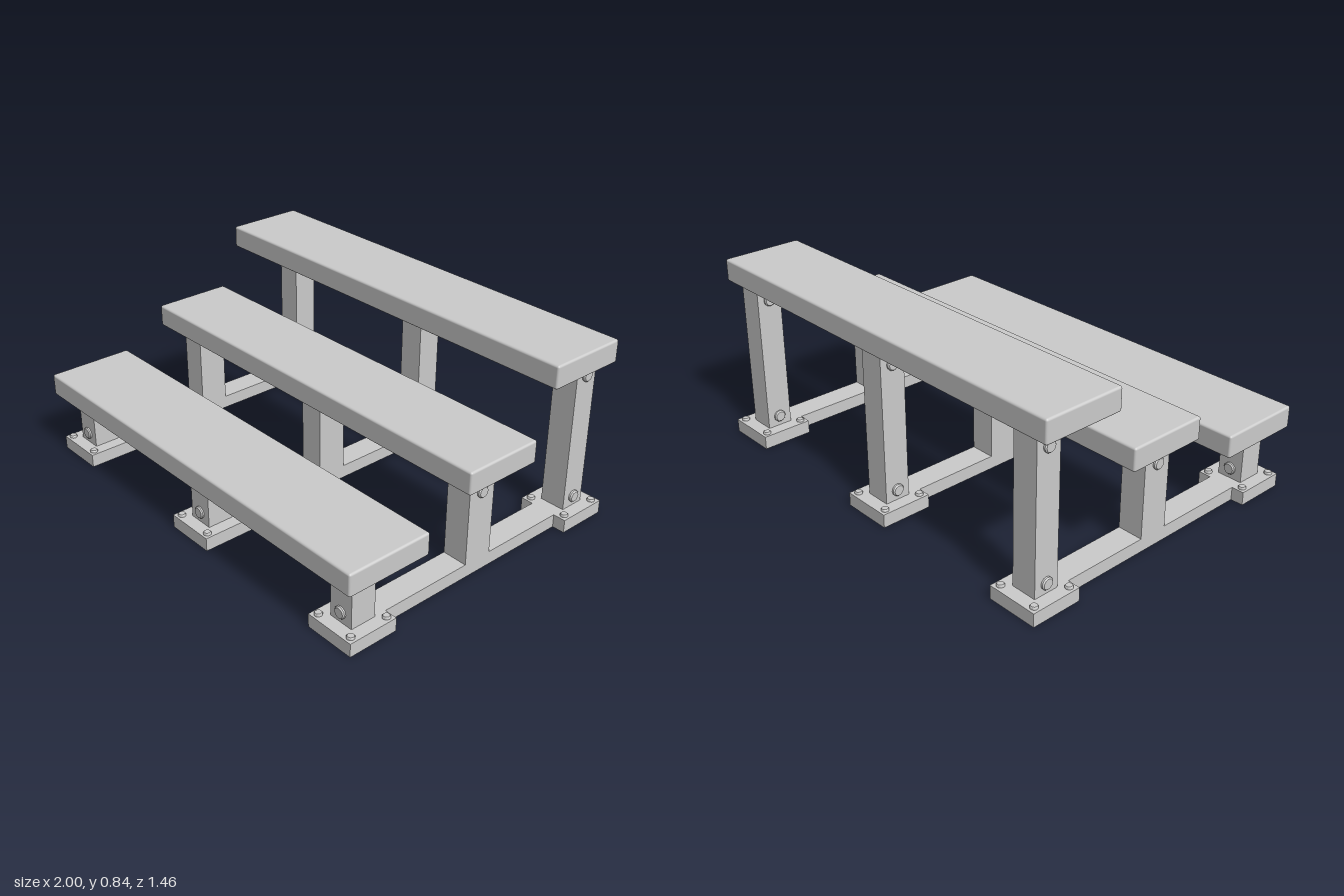
import * as THREE from 'three';
import { RoundedBoxGeometry } from 'three/addons/geometries/RoundedBoxGeometry.js';
import { toCreasedNormals } from 'three/addons/utils/BufferGeometryUtils.js';

const grey = new THREE.MeshStandardMaterial({ color: 0xcccccc });
const W = 0.116; // width of posts and beams
const PLATE_H = 0.06;

function add(parent, name, geometry, x = 0, y = 0, z = 0) {
  const mesh = new THREE.Mesh(geometry, grey);
  mesh.name = name;
  mesh.position.set(x, y, z);
  parent.add(mesh);
  return mesh;
}

// Block given by its bottom and top heights and its back and front depths
function block(parent, name, w, y0, y1, z0, z1) {
  return add(parent, name, new THREE.BoxGeometry(w, y1 - y0, z1 - z0), 0, (y0 + y1) / 2, (z0 + z1) / 2);
}

// Bolt head with a chamfered rim, standing on y = 0
function boltGeometry(r, h) {
  const profile = [[r, 0], [r, h * 0.6], [r * 0.82, h], [0, h]].map(([x, y]) => new THREE.Vector2(x, y));
  return toCreasedNormals(new THREE.LatheGeometry(profile, 12), 0.6);
}
const sideBolt = boltGeometry(0.027, 0.013);
const plateBolt = boltGeometry(0.017, 0.011);

// Pair of bolt heads on opposite faces of a post
function boltPair(parent, axis, y, z, half) {
  for (const s of [-1, 1]) {
    if (axis === 'x') add(parent, 'postBolt', sideBolt, s * half, y, z).rotation.z = -s * Math.PI / 2;
    else add(parent, 'postBolt', sideBolt, 0, y, z + s * half).rotation.x = s * Math.PI / 2;
  }
}

// Ground plate with a bolt near each corner
function basePlate(parent, name, z0, z1) {
  block(parent, name, 0.232, 0, PLATE_H, z0, z1);
  const zc = (z0 + z1) / 2;
  for (const sx of [-1, 1]) for (const sz of [-1, 1])
    add(parent, 'plateBolt', plateBolt, sx * 0.089, PLATE_H, zc + sz * 0.089);
}

// One support: plates, front and back posts, and a beam with the middle post
function support(x) {
  const g = new THREE.Group();
  g.name = 'support';
  g.position.x = x;

  basePlate(g, 'frontPlate', 0.477, 0.707);
  basePlate(g, 'backPlate', -0.727, -0.494);
  block(g, 'frontPost', W, PLATE_H, 0.29, 0.532, 0.649);
  block(g, 'backPost', W, PLATE_H, 0.74, -0.667, -0.552);

  // Beam and middle post in one upturned T, drawn with shape x along -z
  const t = new THREE.Shape([
    [-0.477, 0], [0.494, 0], [0.494, PLATE_H], [0.092, PLATE_H], [0.092, 0.455],
    [-0.045, 0.455], [-0.045, PLATE_H], [-0.477, PLATE_H],
  ].map(([a, b]) => new THREE.Vector2(a, b)));
  const beam = new THREE.ExtrudeGeometry(t, { depth: W, bevelEnabled: false });
  beam.translate(0, 0, -W / 2).rotateY(Math.PI / 2);
  add(g, 'beamWithMiddlePost', beam);

  boltPair(g, 'z', 0.107, 0.59, 0.058);
  boltPair(g, 'x', 0.376, -0.022, W / 2);
  boltPair(g, 'x', 0.107, -0.61, W / 2);
  boltPair(g, 'x', 0.677, -0.61, W / 2);
  return g;
}

export function createModel() {
  const model = new THREE.Group();
  model.name = 'tieredBench';

  for (const x of [-0.868, 0, 0.868]) model.add(support(x));

  // Planks with softened edges: bottom, top, back, front
  const planks = {
    frontPlank: [0.283, 0.384, 0.333, 0.729],
    middlePlank: [0.449, 0.551, -0.241, 0.13],
    backPlank: [0.734, 0.836, -0.696, -0.326],
  };
  for (const [name, [y0, y1, z0, z1]] of Object.entries(planks))
    add(model, name, new RoundedBoxGeometry(2, y1 - y0, z1 - z0, 2, 0.01), 0, (y0 + y1) / 2, (z0 + z1) / 2);

  return model;
}
